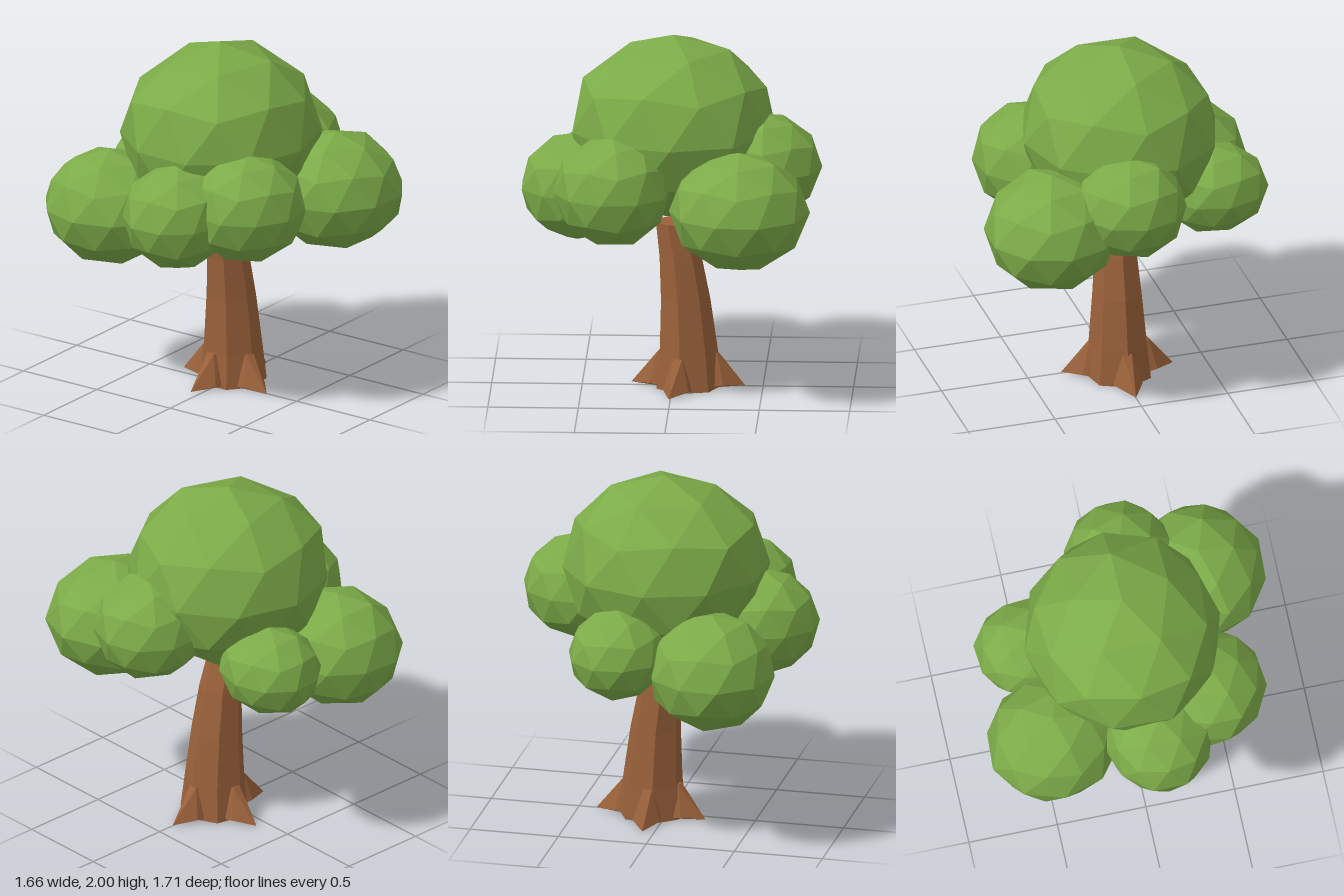
import * as THREE from 'three';
import { mergeVertices } from 'three/addons/utils/BufferGeometryUtils.js';
import { ConvexGeometry } from 'three/addons/geometries/ConvexGeometry.js';

const SIDES = 7;
const leaf = new THREE.MeshStandardMaterial({ color: 0x7cab48, flatShading: true });
const bark = new THREE.MeshStandardMaterial({ color: 0x9a613a, flatShading: true });

function seeded(seed) {
  let s = seed * 7919 + 13;
  return () => (s = (s * 16807) % 2147483647) / 2147483647;
}

function add(parent, name, geometry, material) {
  const mesh = new THREE.Mesh(geometry, material);
  mesh.name = name;
  parent.add(mesh);
  return mesh;
}

// Lumpy low-poly ball with a corner on top, fitted to the box from min to max
function clump(seed, turn, min, max) {
  const rand = seeded(seed);
  for (let i = 0; i < 5; i++) rand();
  let geo = new THREE.IcosahedronGeometry(1, 1);
  geo.deleteAttribute('normal');
  geo.deleteAttribute('uv');
  geo = mergeVertices(geo, 1e-3);
  geo.rotateX(-Math.atan((1 + Math.sqrt(5)) / 2)).rotateY(turn);
  const p = geo.attributes.position;
  const v = new THREE.Vector3();
  for (let i = 0; i < p.count; i++) {
    v.fromBufferAttribute(p, i).multiplyScalar(0.98 + 0.04 * rand());
    p.setXYZ(i, v.x, v.y, v.z);
  }
  geo.computeBoundingBox();
  const size = geo.boundingBox.getSize(new THREE.Vector3());
  const mid = geo.boundingBox.getCenter(new THREE.Vector3());
  geo.translate(-mid.x, -mid.y, -mid.z);
  geo.scale(...['x', 'y', 'z'].map((k, i) => (max[i] - min[i]) / size[k]));
  geo.translate(...min.map((m, i) => (m + max[i]) / 2));
  geo.computeVertexNormals();
  return geo;
}

// Seven-sided trunk that leans and tapers: rings of [y, centre x, radius]
function trunkGeometry() {
  const rings = [
    [0, 0.085, 0.19], [0.2, 0.083, 0.168], [0.5, 0.066, 0.142],
    [0.75, 0.038, 0.12], [0.94, 0, 0.1],
  ];
  const geo = new THREE.CylinderGeometry(1, 1, 1, SIDES, rings.length - 1);
  geo.rotateY(Math.PI / 2);
  const p = geo.attributes.position;
  for (let i = 0; i < p.count; i++) {
    const [y, cx, r] = rings[Math.round((p.getY(i) + 0.5) * (rings.length - 1))];
    p.setXYZ(i, cx + p.getX(i) * r, y, p.getZ(i) * r);
  }
  geo.computeVertexNormals();
  return geo;
}

// Wedge root running out along +x
function rootGeometry() {
  const points = [new THREE.Vector3(0.318, 0.002, 0)];
  for (const s of [-1, 1]) {
    points.push(
      new THREE.Vector3(0.12, 0.19, 0.03 * s),
      new THREE.Vector3(0.165, 0.19, 0.025 * s),
      new THREE.Vector3(0.13, 0.01, 0.08 * s),
      new THREE.Vector3(0.2, 0.02, 0.075 * s),
    );
  }
  return new ConvexGeometry(points);
}

export function createModel() {
  const tree = new THREE.Group();
  tree.name = 'tree';

  add(tree, 'trunk', trunkGeometry(), bark);

  // Four roots spread around the foot
  const roots = new THREE.Group();
  roots.name = 'roots';
  roots.position.x = 0.083;
  const rootGeo = rootGeometry();
  for (const degrees of [0, 107, 190, 267]) {
    add(roots, 'root', rootGeo, bark).rotation.y = -THREE.MathUtils.degToRad(degrees);
  }
  tree.add(roots);

  // Large crown with six smaller clumps around it: name, turn, min, max
  const foliage = new THREE.Group();
  foliage.name = 'foliage';
  const clumps = [
    ['crown', 0.314, [-0.55, 0.96, -0.58], [0.55, 2.0, 0.525]],
    ['frontRightClump', 0.15, [-0.64, 0.91, 0.08], [0.0, 1.53, 0.71]],
    ['frontLeftClump', 0, [0.0, 0.8, 0.12], [0.78, 1.47, 0.85]],
    ['rightClump', 0.314, [-0.83, 0.85, -0.24], [-0.22, 1.46, 0.37]],
    ['leftClump', 0, [0.19, 0.99, -0.23], [0.83, 1.58, 0.37]],
    ['backRightClump', 0, [-0.73, 0.725, -0.86], [-0.02, 1.38, -0.14]],
    ['backLeftClump', 0.05, [-0.12, 0.86, -0.82], [0.43, 1.37, -0.23]],
  ];
  clumps.forEach(([name, turn, min, max], i) => {
    add(foliage, name, clump(i + 1, turn, min, max), leaf);
  });
  tree.add(foliage);

  return tree;
}
